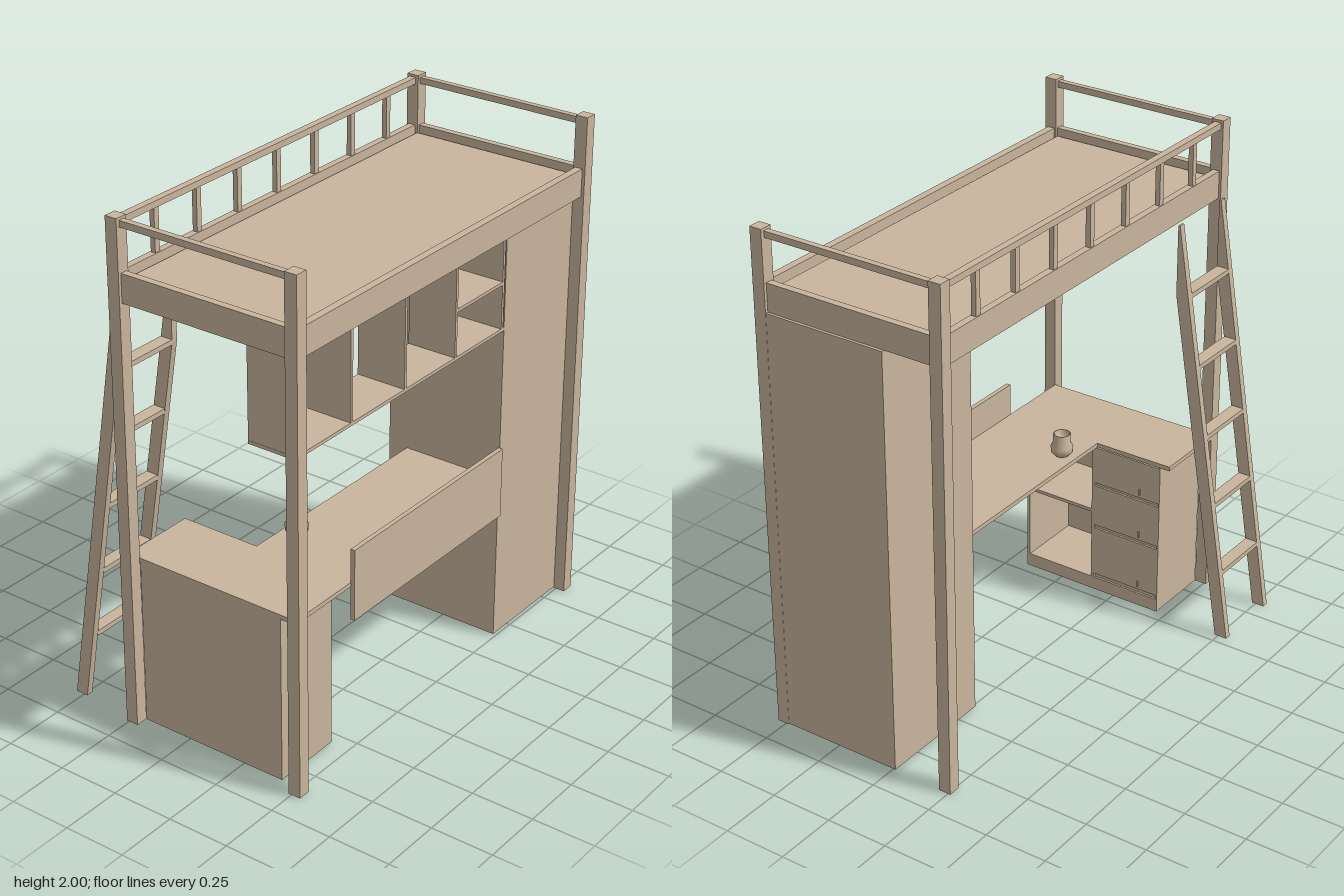
import * as THREE from 'three';

export function createModel() {
  const model = new THREE.Group();
  model.name = 'loftBed';
  const wood = new THREE.MeshStandardMaterial({ color: 0xc8b59d });
  wood.name = 'paleWood';

  function add(name, geometry, parent = model) {
    const mesh = new THREE.Mesh(geometry, wood);
    mesh.name = name;
    parent.add(mesh);
    return mesh;
  }
  // Box given by its limits on each axis
  function box(name, x0, x1, y0, y1, z0, z1, parent) {
    const g = new THREE.BoxGeometry(x1 - x0, y1 - y0, z1 - z0);
    g.translate((x0 + x1) / 2, (y0 + y1) / 2, (z0 + z1) / 2);
    return add(name, g, parent);
  }
  function group(name) {
    const g = new THREE.Group();
    g.name = name;
    model.add(g);
    return g;
  }

  // Bed frame: posts, boards, guard rails
  const bed = group('bedFrame');
  for (const s of [-1, 1]) {
    const xa = s < 0 ? -0.887 : 0.837;
    box('frontPost', xa, xa + 0.05, 0, 2, 0.487, 0.537, bed);
    box('backPost', xa, xa + 0.05, 0, 2, -0.26, -0.21, bed);
    const xb = s * 0.861;
    box('endBoard', xb - 0.014, xb + 0.014, 1.69, 1.8, -0.21, 0.487, bed);
    box('endTopRail', xb - 0.012, xb + 0.012, 1.965, 1.99, -0.21, 0.487, bed);
  }
  box('frontBoard', -0.837, 0.837, 1.69, 1.8, 0.495, 0.525, bed);
  box('backBoard', -0.837, 0.837, 1.69, 1.8, -0.25, -0.222, bed);
  box('backTopRail', -0.837, 0.837, 1.965, 1.99, -0.25, -0.222, bed);
  box('bedBase', -0.84, 0.84, 1.73, 1.77, -0.212, 0.482, bed);
  for (let i = -3; i <= 3; i++) {
    const x = i * 0.2225;
    box('guardBaluster', x - 0.012, x + 0.012, 1.8, 1.965, -0.246, -0.226, bed);
  }

  // Wardrobe
  box('wardrobe', 0.4, 0.886, 0.004, 1.69, -0.012, 0.49);

  // Open shelf unit under the bed
  const shelf = group('shelfUnit');
  box('shelfBottom', -0.837, 0.4, 1.303, 1.316, 0.29, 0.49, shelf);
  box('shelfTop', -0.837, 0.4, 1.678, 1.69, 0.29, 0.49, shelf);
  for (const x of [-0.83, -0.528, -0.217, 0.09, 0.387]) {
    box('shelfDivider', x - 0.006, x + 0.006, 1.316, 1.678, 0.29, 0.49, shelf);
  }
  box('halfShelf', 0.096, 0.381, 1.49, 1.503, 0.29, 0.49, shelf);

  // Corner desk: L-shaped top and modesty panel
  const desk = group('desk');
  const outline = new THREE.Shape([
    [-0.84, -0.487], [0.4, -0.487], [0.4, -0.07], [-0.527, -0.07], [-0.527, 0.262], [-0.84, 0.262],
  ].map(([x, y]) => new THREE.Vector2(x, y)));
  const topGeo = new THREE.ExtrudeGeometry(outline, { depth: 0.018, bevelEnabled: false });
  topGeo.rotateX(-Math.PI / 2);
  topGeo.translate(0, 0.668, 0);
  add('deskTop', topGeo, desk);
  box('modestyPanel', -0.525, 0.4, 0.535, 0.82, 0.485, 0.503, desk);

  // Pedestal: carcass, open cubby in front, drawers behind
  const ped = group('pedestal');
  const [xl, xr, zb, zm, zf] = [-0.838, -0.548, -0.208, 0.1, 0.42];
  box('plinth', xl, xr, 0, 0.055, zb, zf, ped);
  box('outerSide', xl, xl + 0.014, 0.055, 0.668, zb, zf, ped);
  box('frontSide', xl, xr, 0.055, 0.668, zf - 0.014, zf, ped);
  box('divider', xl, xr, 0.055, 0.668, zm - 0.007, zm + 0.007, ped);
  box('drawerCase', xl, xr - 0.008, 0.055, 0.668, zb, zm, ped);
  box('backSide', xl, xr, 0.055, 0.668, zb, zb + 0.006, ped);
  box('cubbyShelf', xl, xr, 0.355, 0.369, zm, zf - 0.014, ped);
  for (const [y0, y1, ky] of [[0.073, 0.285, 0.1], [0.3, 0.478, 0.328], [0.492, 0.65, 0.52]]) {
    box('drawerFront', xr - 0.008, xr, y0, y1, zb + 0.006, zm - 0.007, ped);
    box('drawerHandle', xr, xr + 0.008, ky - 0.012, ky + 0.012, -0.121, -0.115, ped);
  }

  // Leaning ladder: side rails cut flat at floor and post
  const ladder = group('ladder');
  const side = new THREE.Shape([
    [0.262, 1.69], [0.27, 1.69], [0.537, 0], [0.485, 0], [0.262, 1.41],
  ].reverse().map(([z, y]) => new THREE.Vector2(-z, y)));
  for (const x of [-0.853, -0.567]) {
    const g = new THREE.ExtrudeGeometry(side, { depth: 0.027, bevelEnabled: false });
    g.rotateY(-Math.PI / 2);
    g.translate(x + 0.027, 0, 0);
    add('ladderRail', g, ladder);
  }
  for (let i = 0; i < 5; i++) {
    const y = 0.275 + i * 0.284;
    const z = -0.51 + y * 0.158;
    box('ladderRung', -0.827, -0.566, y - 0.01, y + 0.01, z - 0.027, z + 0.025, ladder);
  }

  // Small round pot on the desk
  const profile = [
    [0, 0], [0.025, 0], [0.042, 0.018], [0.044, 0.04], [0.034, 0.058], [0.034, 0.095],
    [0.029, 0.095], [0.029, 0.06], [0, 0.05],
  ].map(([r, y]) => new THREE.Vector2(r, y));
  add('deskPot', new THREE.LatheGeometry(profile, 24)).position.set(-0.37, 0.686, 0.13);

  return model;
}
